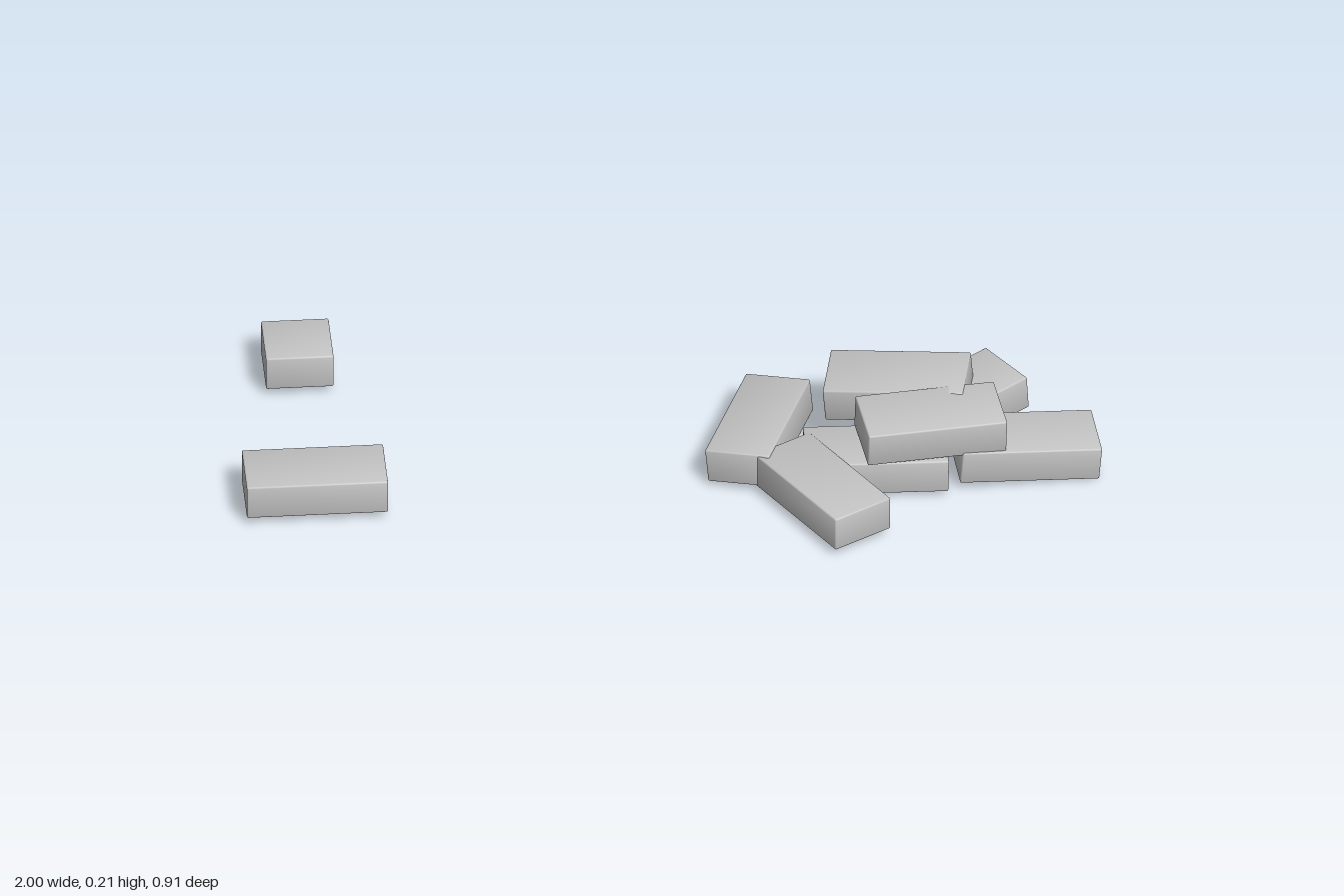
import * as THREE from 'three';
import { RoundedBoxGeometry } from 'three/addons/geometries/RoundedBoxGeometry.js';

// Brick with worn edges; normals lean towards the corners for soft, pillowy shading
function brickShape(length) {
  const shape = new RoundedBoxGeometry(length, 0.086, 0.157, 2, 0.004);
  const { position, normal } = shape.attributes;
  const corner = new THREE.Vector3();
  const n = new THREE.Vector3();
  for (let i = 0; i < position.count; i++) {
    corner.fromBufferAttribute(position, i);
    corner.set(Math.sign(corner.x), Math.sign(corner.y), Math.sign(corner.z));
    n.fromBufferAttribute(normal, i).addScaledVector(corner, 0.2).normalize();
    normal.setXYZ(i, n.x, n.y, n.z);
  }
  return shape;
}

export function createModel() {
  const model = new THREE.Group();
  model.name = 'brickPile';
  const stone = new THREE.MeshStandardMaterial({ color: 0xc4c4c4 });
  stone.name = 'grey brick';

  const full = brickShape(0.33);
  const half = brickShape(0.158);

  // name, shape, centre, heading / roll / pitch in degrees
  const bricks = [
    ['looseBrick', full, [-0.835, 0.062, 0.143], 0, 0, 0],
    ['looseHalfBrick', half, [-0.836, 0.062, -0.378], 0, 0, 0],
    ['leaningBrick', full, [0.213, 0.061, 0.014], 68.6, -5.5, 0],
    ['frontBrick', full, [0.341, 0.062, 0.275], -59.3, 0, 0],
    ['middleBrick', full, [0.475, 0.057, 0.147], 0, 1, -1],
    ['rightBrick', full, [0.828, 0.057, 0.122], 5, 2.5, -4.5],
    ['buriedHalfBrick', half, [0.625, 0.056, -0.038], 0, -1, 0],
    ['crossedBrick', full, [0.665, 0.094, -0.003], 33.5, 0, 4],
    ['upperFrontBrick', full, [0.604, 0.151, 0.147], 7.5, 4, -1],
    ['upperBackBrick', full, [0.54, 0.15, -0.013], -11.7, 4, 4],
  ];
  const rad = THREE.MathUtils.degToRad;
  for (const [name, shape, centre, heading, roll, pitch] of bricks) {
    const brick = new THREE.Mesh(shape, stone);
    brick.name = name;
    brick.position.set(...centre);
    brick.rotation.set(rad(roll), rad(heading), rad(pitch), 'YXZ');
    model.add(brick);
  }
  return model;
}
